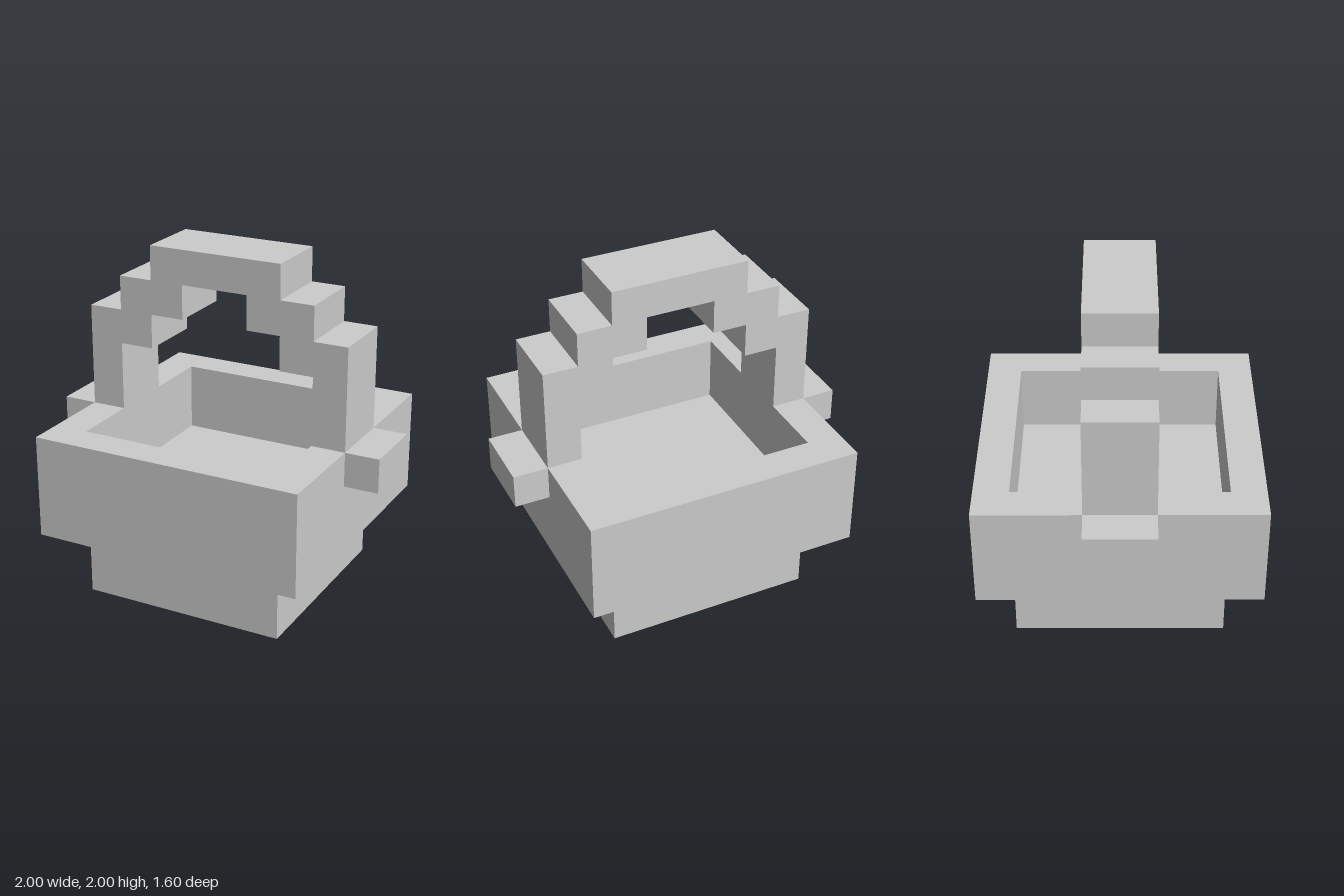
import * as THREE from 'three';

const material = new THREE.MeshStandardMaterial({ color: 0xcccccc, flatShading: true });

function addMesh(parent, name, geometry) {
  const mesh = new THREE.Mesh(geometry, material);
  mesh.name = name;
  parent.add(mesh);
  return mesh;
}

// Box given by its size, centre x and bottom height
function addBox(parent, name, w, h, d, x, bottom) {
  const mesh = addMesh(parent, name, new THREE.BoxGeometry(w, h, d));
  mesh.position.set(x, bottom + h / 2, 0);
}

const square = (Type, r) => new Type([[-r, -r], [r, -r], [r, r], [-r, r]].map(([x, y]) => new THREE.Vector2(x, y)));

export function createModel() {
  const basket = new THREE.Group();
  basket.name = 'basket';

  // Narrow foot and the solid floor of the basket
  addBox(basket, 'foot', 1.2, 0.4, 1.2, 0, 0);
  addBox(basket, 'basketFloor', 1.6, 0.2, 1.6, 0, 0.4);

  // Thick rim wall around the square opening
  const wallShape = square(THREE.Shape, 0.8);
  wallShape.holes.push(square(THREE.Path, 0.6));
  const wall = new THREE.ExtrudeGeometry(wallShape, { depth: 0.4, bevelEnabled: false });
  wall.rotateX(-Math.PI / 2).translate(0, 0.6, 0);
  addMesh(basket, 'basketWall', wall);

  // Stepped handle: the right half of the outline, mirrored to the left
  const outer = [[0.8, 1], [0.8, 1.6], [0.6, 1.6], [0.6, 1.8], [0.4, 1.8], [0.4, 2]];
  const inner = [[0.6, 1], [0.6, 1.4], [0.4, 1.4], [0.4, 1.6], [0.2, 1.6], [0.2, 1.8]];
  const mirror = (points) => points.map(([x, y]) => [-x, y]);
  const outline = [...outer, ...mirror(outer).reverse(), ...mirror(inner), ...inner.slice().reverse()];
  const handleShape = new THREE.Shape(outline.map(([x, y]) => new THREE.Vector2(x, y)));
  const handle = new THREE.ExtrudeGeometry(handleShape, { depth: 0.4, bevelEnabled: false });
  handle.translate(0, 0, -0.2);
  addMesh(basket, 'handle', handle);

  // Lugs on both sides below the handle
  for (const side of [-1, 1]) {
    addBox(basket, side > 0 ? 'leftLug' : 'rightLug', 0.2, 0.2, 0.4, side * 0.9, 0.8);
  }
  return basket;
}
